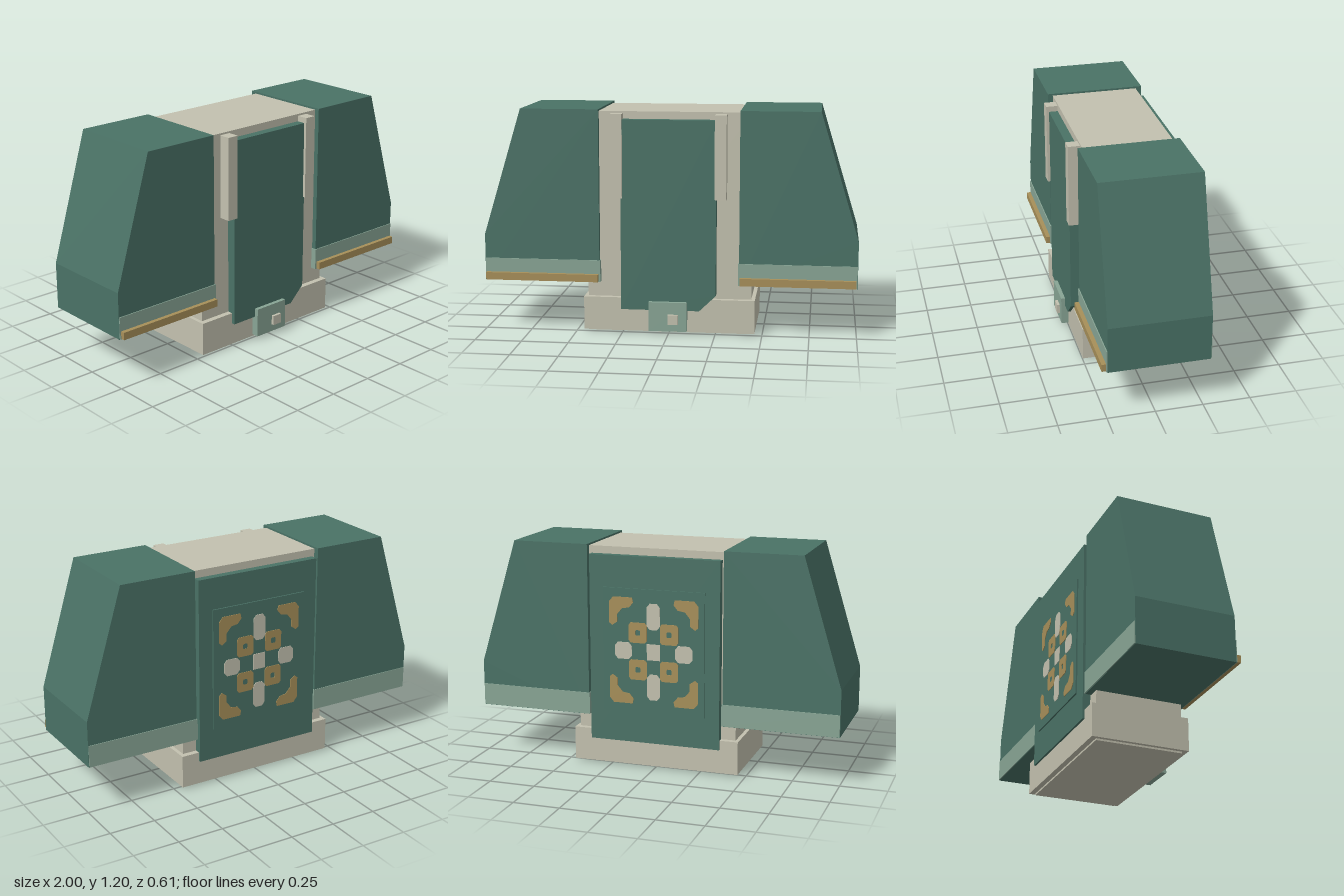
import * as THREE from 'three';

const material = (name, color) => {
  const m = new THREE.MeshStandardMaterial({ color });
  m.name = name;
  return m;
};

export function createModel() {
  const green = material('dark green', 0x4a7266);
  const sage = material('sage green', 0x88a595);
  const cream = material('cream', 0xc3c1af);
  const gold = material('gold', 0xa78f59);

  const model = new THREE.Group();
  model.name = 'robedTorso';

  const add = (name, geometry, mat, parent = model) => {
    const mesh = new THREE.Mesh(geometry, mat);
    mesh.name = name;
    parent.add(mesh);
    return mesh;
  };
  // Box given by its limits on each axis
  const box = (name, mat, [x0, x1], [y0, y1], [z0, z1], parent) => {
    const g = new THREE.BoxGeometry(Math.abs(x1 - x0), y1 - y0, z1 - z0);
    g.translate((x0 + x1) / 2, (y0 + y1) / 2, (z0 + z1) / 2);
    return add(name, g, mat, parent);
  };
  // Flat outline in x and y, extruded between two z values
  const slab = (name, mat, points, [z0, z1], parent, hole) => {
    const toVec = ([x, y]) => new THREE.Vector2(x, y);
    const shape = new THREE.Shape(points.map(toVec));
    if (hole) shape.holes.push(new THREE.Path(hole.map(toVec)));
    const g = new THREE.ExtrudeGeometry(shape, { depth: z1 - z0, bevelEnabled: false });
    g.translate(0, 0, z0);
    return add(name, g, mat, parent);
  };

  // Core block and wider base
  box('core', cream, [-0.44, 0.44], [0, 1.19], [-0.25, 0.22]);
  box('base', cream, [-0.46, 0.46], [0.01, 0.19], [-0.28, 0.25]);

  // Flared sleeves with their hems
  for (const s of [1, -1]) {
    const sleeve = new THREE.Group();
    sleeve.name = s > 0 ? 'leftSleeve' : 'rightSleeve';
    model.add(sleeve);
    slab('sleeveBody', green,
      [[0.375, 0.27], [1, 0.27], [1, 0.52], [0.793, 1.2], [0.375, 1.2]].map(([x, y]) => [x * s, y]),
      [-0.283, 0.247], sleeve);
    box('hemBand', sage, [s * 0.37, s * 0.998], [0.272, 0.39], [-0.287, 0.252], sleeve);
    box('hemTrim', gold, [s * 0.38, s * 0.992], [0.275, 0.315], [0.252, 0.275], sleeve);
  }

  // Front panel with one clipped corner
  slab('frontPanel', green,
    [[-0.255, 0.13], [0.165, 0.13], [0.253, 0.215], [0.253, 1.15], [-0.255, 1.15]], [0.22, 0.268]);
  for (const s of [1, -1]) {
    box('strap', cream, [s * 0.245, s * 0.307], [0.735, 1.18], [0.22, 0.283]);
  }
  box('buckle', sage, [-0.105, 0.1], [0.02, 0.178], [0.25, 0.29]);
  box('buckleKnob', cream, [0, 0.055], [0.06, 0.113], [0.29, 0.305]);

  // Back panel and raised emblem plate
  box('backPanel', green, [-0.36, 0.36], [0.14, 1.15], [-0.291, -0.25]);
  const ornament = new THREE.Group();
  ornament.name = 'backOrnament';
  model.add(ornament);
  box('ornamentPlate', green, [-0.28, 0.28], [0.31, 0.98], [-0.299, -0.29], ornament);

  // Ornament pieces: u, v run from -0.5 to 0.5 across the plate
  const inlayZ = [-0.302, -0.299];
  const place = (points, su = 1, sv = 1) =>
    points.map(([u, v]) => [u * su * 0.56, 0.645 + v * sv * 0.67]);
  const clipped = (u, v, a, b, c) => [
    [u - a + c, v - b], [u + a - c, v - b], [u + a, v - b + c], [u + a, v + b - c],
    [u + a - c, v + b], [u - a + c, v + b], [u - a, v + b - c], [u - a, v - b + c],
  ];
  const bracket = [
    [0.21, 0.43], [0.4, 0.43], [0.44, 0.39], [0.44, 0.22], [0.41, 0.2],
    [0.36, 0.23], [0.36, 0.29], [0.31, 0.34], [0.24, 0.35], [0.2, 0.39],
  ];
  const centre = [[-0.065, -0.065], [0.065, -0.065], [0.065, 0.065], [-0.065, 0.065]];
  slab('centreInlay', cream, place(centre), inlayZ, ornament);
  for (const s of [1, -1]) {
    slab('uprightPetal', cream, place(clipped(0, 0.285, 0.065, 0.105, 0.03), 1, s), inlayZ, ornament);
    slab('sidePetal', cream, place(clipped(0.3, 0, 0.085, 0.068, 0.03), s, 1), inlayZ, ornament);
    for (const t of [1, -1]) {
      slab('innerTile', gold, place(clipped(0.155, 0.15, 0.09, 0.082, 0.02), s, t), inlayZ, ornament,
        place(clipped(0.155, 0.15, 0.025, 0.022, 0.008), s, t));
      slab('cornerBracket', gold, place(bracket, s, t), inlayZ, ornament);
    }
  }

  return model;
}
